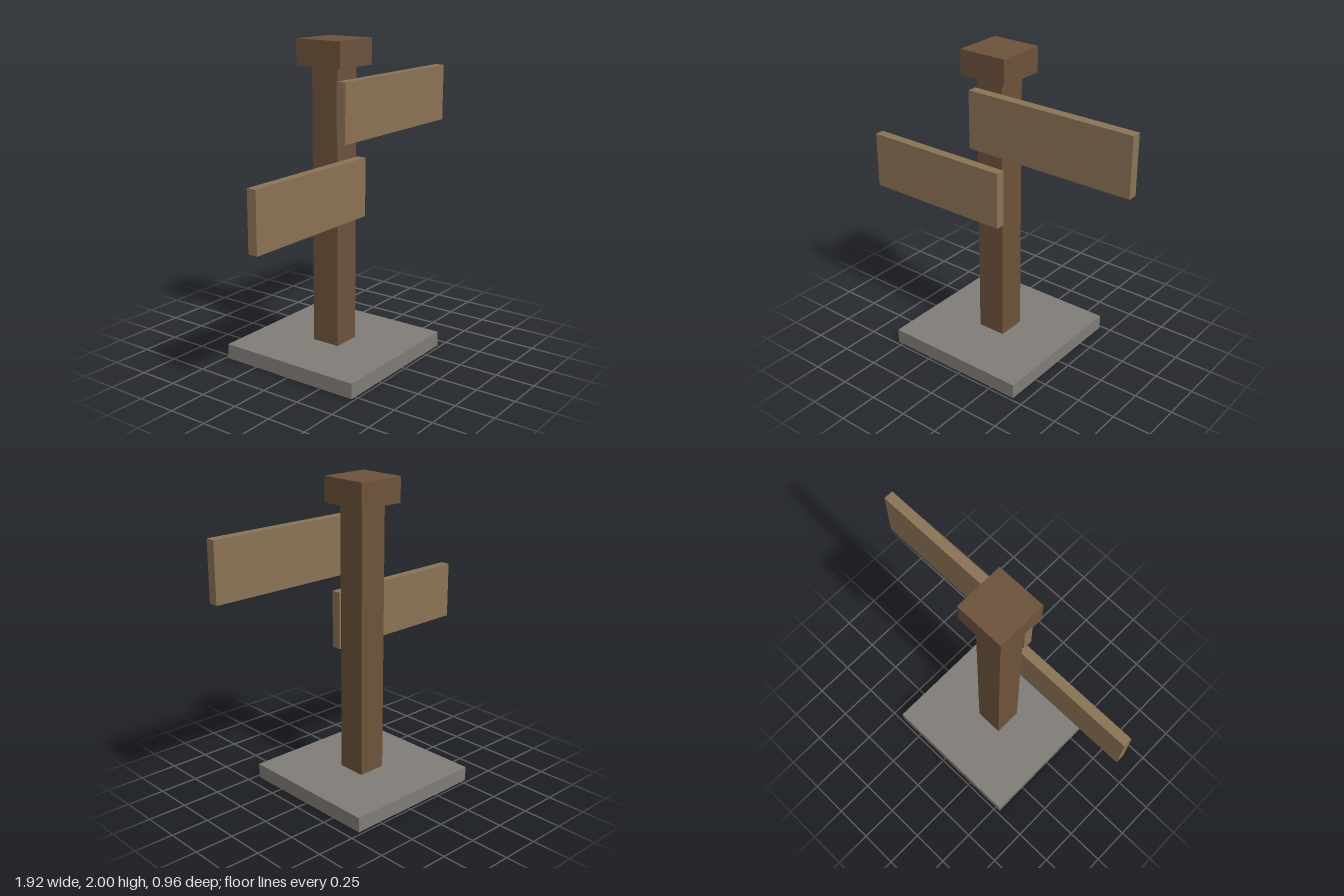
import * as THREE from 'three';

export function createModel() {
  const group = new THREE.Group();
  group.name = 'signpost';

  const material = (name, color) => {
    const m = new THREE.MeshStandardMaterial({ color });
    m.name = name;
    return m;
  };
  const darkWood = material('dark wood', 0x6d523b);
  const lightWood = material('light wood', 0x8b7355);
  const stone = material('grey stone', 0x807c77);

  // Box given by its lower and upper corners
  const box = (name, mat, [x0, y0, z0], [x1, y1, z1]) => {
    const mesh = new THREE.Mesh(new THREE.BoxGeometry(x1 - x0, y1 - y0, z1 - z0), mat);
    mesh.position.set((x0 + x1) / 2, (y0 + y1) / 2, (z0 + z1) / 2);
    mesh.name = name;
    group.add(mesh);
  };

  // Square pieces stacked on the post axis
  const axisX = -0.055;
  const square = (name, mat, half, y0, y1) =>
    box(name, mat, [axisX - half, y0, -half], [axisX + half, y1, half]);
  square('base', stone, 0.48, 0, 0.096);
  square('post', darkWood, 0.094, 0.02, 1.86);
  square('cap', darkWood, 0.16, 1.84, 2);

  // Sign boards fixed to the front of the post
  box('upperBoard', lightWood, [-0.16, 1.39, 0.096], [0.96, 1.76, 0.158]);
  box('lowerBoard', lightWood, [-0.96, 0.91, 0.096], [0.05, 1.28, 0.158]);

  return group;
}
